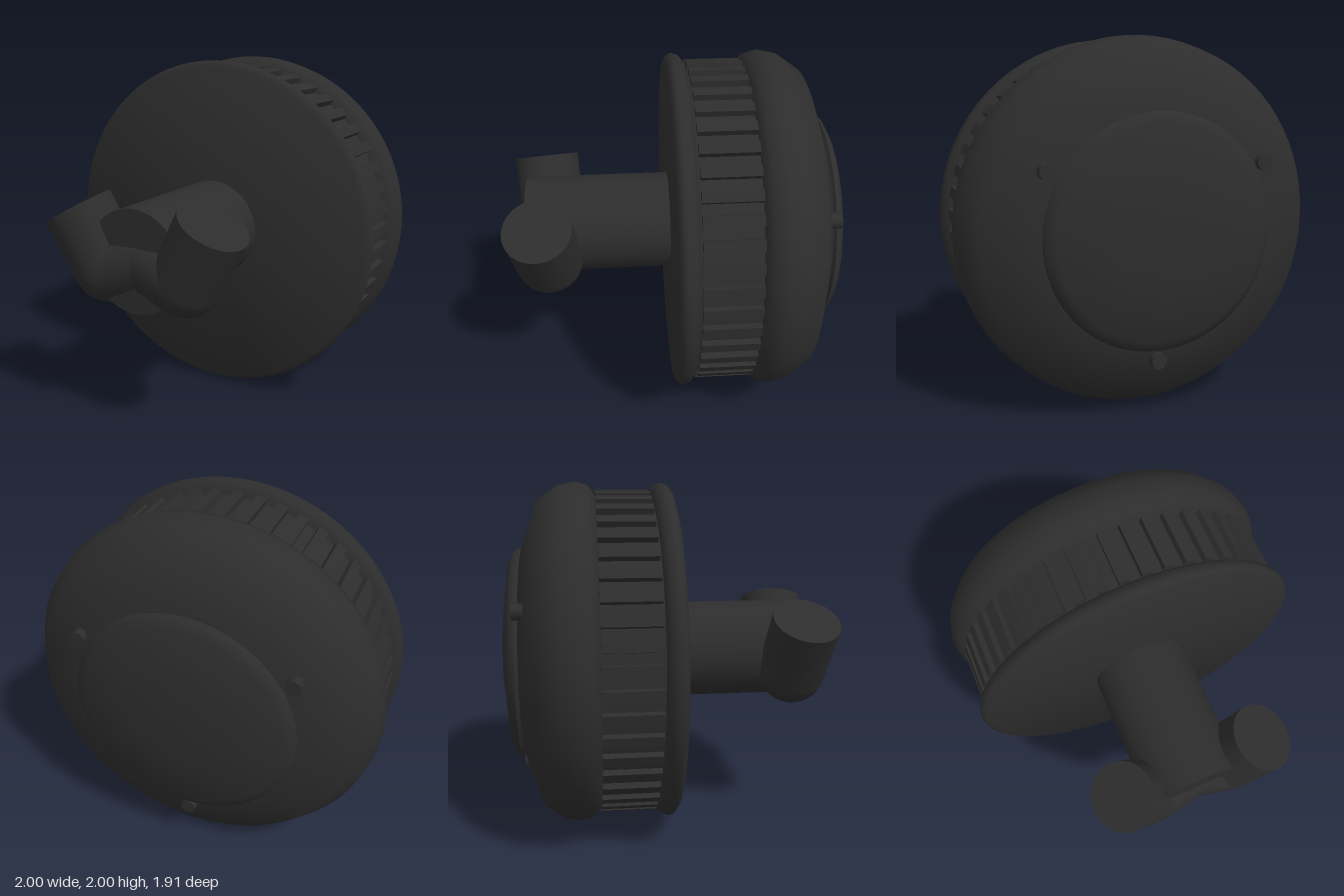
import * as THREE from 'three';
import { toCreasedNormals } from 'three/addons/utils/BufferGeometryUtils.js';

const darkGrey = new THREE.MeshStandardMaterial({ color: 0x2d2d2d });
darkGrey.name = 'darkGrey';

export function createModel() {
  const model = new THREE.Group();
  model.name = 'ribbedFilterCanister';

  // Everything is built around the z axis, then lifted onto the ground.
  const body = new THREE.Group();
  body.name = 'body';
  body.position.y = 1;
  model.add(body);

  const add = (name, geometry, parent = body) => {
    const mesh = new THREE.Mesh(geometry, darkGrey);
    mesh.name = name;
    parent.add(mesh);
    return mesh;
  };

  // Turned part: profile points are [radius, distance behind z = 0].
  const turned = (name, profile, crease = 0.6) => {
    const points = profile.map(([r, d]) => new THREE.Vector2(r, d));
    const geometry = new THREE.LatheGeometry(points, 72).rotateX(-Math.PI / 2);
    return add(name, toCreasedNormals(geometry, crease));
  };

  // Front plate with a rounded rim
  turned('frontPlate', [[0, -0.02], [0.96, -0.02], [0.985, 0], [0.993, 0.02],
    [0.98, 0.06], [0.94, 0.09], [0, 0.09]], 0.7);

  // Bulging back shell
  turned('backShell', [[0, 0.4], [0.93, 0.41], [0.98, 0.45], [1, 0.52],
    [0.98, 0.62], [0.9, 0.735], [0.62, 0.835], [0, 0.84]], 0.7);

  // Shallow domed cover on the back
  turned('backCover', [[0, 0.82], [0.585, 0.82], [0.595, 0.84], [0.62, 0.855], [0.612, 0.875],
    [0.56, 0.905], [0.28, 0.944], [0, 0.953]], 0.7);

  // Core behind the grip ring
  turned('core', [[0, 0.05], [0.915, 0.05], [0.915, 0.45], [0, 0.45]]);

  // Grip ring: toothed outline, extruded
  const teeth = 48;
  const step = (Math.PI * 2) / teeth;
  const outline = new THREE.Shape();
  for (let i = 0; i < teeth; i++) {
    [[0, 0.92], [0.02, 0.955], [0.5, 0.955], [0.52, 0.92]].forEach(([f, r], k) => {
      const a = (i + f) * step;
      const x = r * Math.cos(a), y = r * Math.sin(a);
      if (i + k === 0) outline.moveTo(x, y);
      else outline.lineTo(x, y);
    });
  }
  outline.closePath();
  const ring = new THREE.ExtrudeGeometry(outline, { depth: 0.31, bevelEnabled: false });
  add('gripRing', ring.translate(0, 0, -0.41));

  // Three pegs around the cover
  for (const degrees of [30, 150, 270]) {
    const a = THREE.MathUtils.degToRad(degrees);
    const peg = new THREE.CylinderGeometry(0.043, 0.043, 0.09, 10).rotateX(Math.PI / 2);
    add('peg', peg).position.set(0.68 * Math.cos(a), 0.68 * Math.sin(a), -0.815);
  }

  // Stem
  const stem = new THREE.CylinderGeometry(0.285, 0.285, 0.85, 48).rotateX(Math.PI / 2);
  add('stem', stem).position.set(0, 0.003, 0.425);

  // Two elbow pipes, mirrored, meeting in the end of the stem
  const pipeRadius = 0.195;
  for (const side of [-1, 1]) {
    const elbow = new THREE.Group();
    elbow.name = side > 0 ? 'leftElbow' : 'rightElbow';
    body.add(elbow);
    const mouth = new THREE.Vector3(side * 0.425, 0.235, 0.76);
    const bend = new THREE.Vector3(side * 0.245, -0.09, 0.73);
    const root = new THREE.Vector3(side * -0.03, -0.015, 0.68);
    for (const [name, end] of [['mouthPipe', mouth], ['rootPipe', root]]) {
      const axis = end.clone().sub(bend);
      const pipe = add(name, new THREE.CylinderGeometry(pipeRadius, pipeRadius, axis.length(), 32), elbow);
      pipe.position.copy(bend).addScaledVector(axis, 0.5);
      pipe.quaternion.setFromUnitVectors(new THREE.Vector3(0, 1, 0), axis.normalize());
    }
    add('bend', new THREE.SphereGeometry(pipeRadius, 32, 20), elbow).position.copy(bend);
  }

  return model;
}
